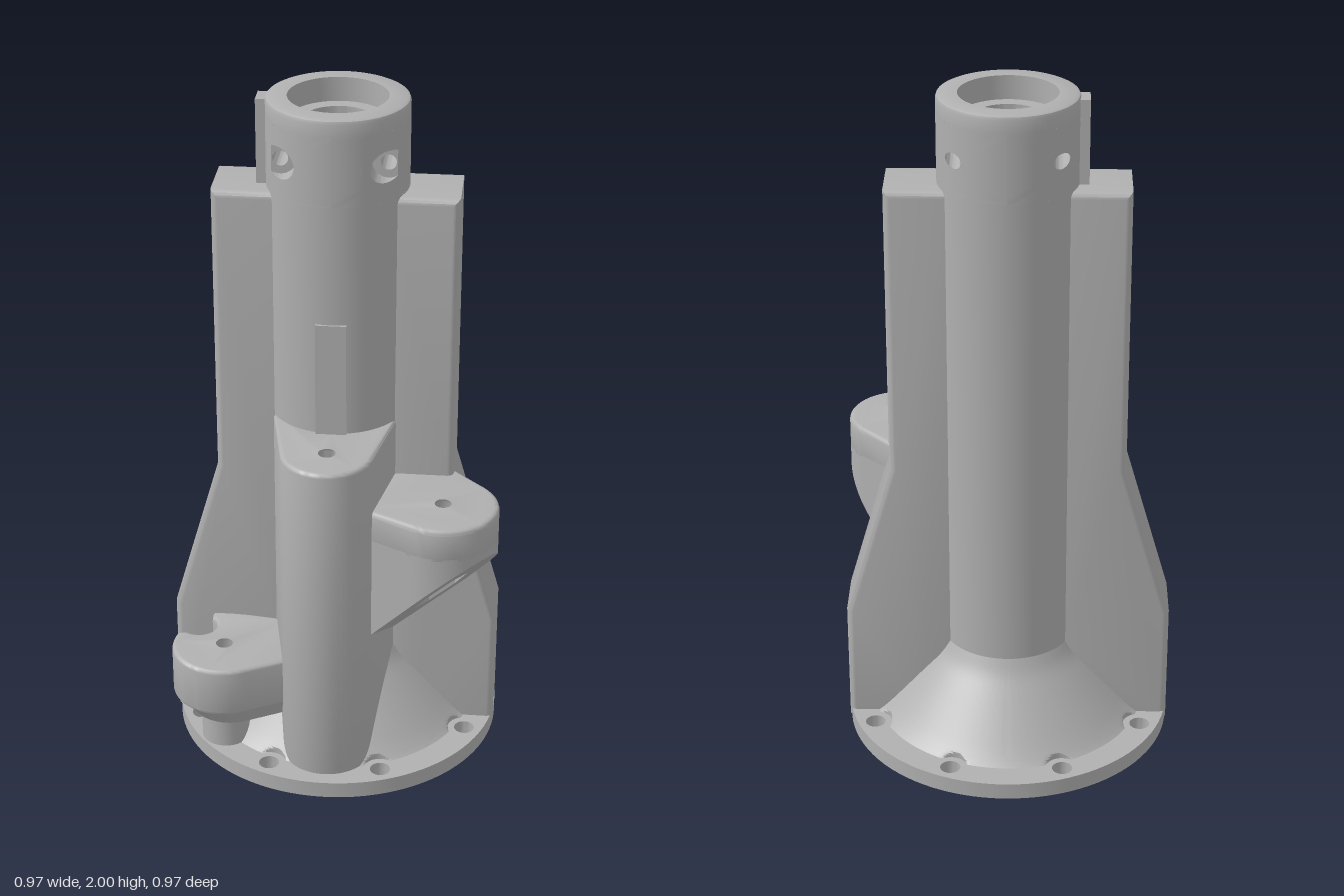
import * as THREE from 'three';
import { toCreasedNormals } from 'three/addons/utils/BufferGeometryUtils.js';
import { ParametricGeometry } from 'three/addons/geometries/ParametricGeometry.js';

const R = 0.2; // main tube radius

export function createModel() {
  const group = new THREE.Group();
  const grey = new THREE.MeshStandardMaterial({ color: 0xb0b0b0, side: THREE.DoubleSide });
  grey.name = 'cast grey';

  const add = (name, geo, crease = 0.6) => {
    const mesh = new THREE.Mesh(crease ? toCreasedNormals(geo, crease) : geo, grey);
    mesh.name = name;
    group.add(mesh);
    return mesh;
  };
  const v2 = (x, y) => new THREE.Vector2(x, y);

  // points of an arc in the ground plane, as [x, z]
  const arc = (cx, cz, r, a0, a1, n = 24) =>
    Array.from({ length: n + 1 }, (_, i) => {
      const a = a0 + ((a1 - a0) * i) / n;
      return [cx + r * Math.cos(a), cz + r * Math.sin(a)];
    });
  const circle = (cx, cz, r, n = 24) => arc(cx, cz, r, 0, Math.PI * 2, n).slice(0, n);

  // upright prism from [x, z] outlines, with optional rounded rims
  const prism = (outline, holes, y0, y1, bevel = 0) => {
    const shape = new THREE.Shape(outline.map(([x, z]) => v2(x, -z)));
    shape.holes = holes.map((h) => new THREE.Path(h.map(([x, z]) => v2(x, -z))));
    const geo = new THREE.ExtrudeGeometry(shape, {
      depth: y1 - y0 - 2 * bevel, bevelEnabled: bevel > 0, bevelThickness: bevel,
      bevelSize: bevel, bevelOffset: -bevel, bevelSegments: 3,
    });
    return geo.rotateX(-Math.PI / 2).translate(0, y0 + bevel, 0);
  };
  // moves the vertices of a geometry by a rule
  const reshape = (geo, rule) => {
    const p = geo.attributes.position;
    const v = new THREE.Vector3();
    for (let i = 0; i < p.count; i++) {
      rule(v.fromBufferAttribute(p, i));
      p.setXYZ(i, v.x, v.y, v.z);
    }
    return geo;
  };

  // base flange with bolt holes
  const bolts = [];
  for (const sx of [-1, 1])
    for (const sz of [-1, 1]) bolts.push([sx * 0.165, sz * 0.4], [sx * 0.4, sz * 0.165]);
  const lowLug = [-0.312, 0.26];
  add('baseFlange', prism(circle(0, 0, 0.485, 96),
    [circle(0, 0, 0.18, 48), ...bolts.map(([x, z]) => circle(x, z, 0.03)), circle(...lowLug, 0.037)],
    0, 0.05));

  // flared foot, cut back around each bolt
  const flareCurve = new THREE.SplineCurve(
    [[0.405, 0.05], [0.39, 0.063], [0.355, 0.1], [0.27, 0.2], [0.225, 0.255], [R, 0.3]].map((p) => v2(...p)));
  const cuts = [...bolts.map((b) => [...b, 0.05]), [...lowLug, 0.038]];
  const flare = reshape(new THREE.LatheGeometry(flareCurve.getPoints(24), 240), (v) => {
    const r = Math.hypot(v.x, v.z);
    const dx = v.x / r, dz = v.z / r;
    let limit = r;
    for (const [cx, cz, cr] of cuts) {
      const along = cx * dx + cz * dz;
      const off = cx * dz - cz * dx;
      if (along > 0 && Math.abs(off) < cr) limit = Math.min(limit, along - Math.sqrt(cr * cr - off * off));
    }
    v.x = dx * limit;
    v.z = dz * limit;
  });
  add('flaredFoot', flare);

  // main tube: outer wall, then rim and stepped bore
  add('tubeWall', new THREE.LatheGeometry([v2(R, 0.29), v2(R, 1.75)], 64));
  add('tubeRimAndBore', new THREE.LatheGeometry(
    [[R, 1.95], [R, 1.988], [0.197, 1.996], [0.189, 2], [0.14, 2], [0.14, 1.93], [0.1, 1.93],
      [0.1, 0.1], [0.18, 0.1], [0.18, 0]].map((p) => v2(...p)), 64));

  // tube band with two cross-bolt holes running front to back
  const holeX = 0.148, holeY = 1.85, seat = 0.1, floorX = 0.173;
  const rim = (u, r) => {
    const t = u * Math.PI * 2;
    return [Math.min(holeX + r * Math.cos(t), floorX), holeY + r * Math.sin(t)];
  };
  const wallZ = (x) => Math.sqrt(R * R - x * x);
  const wide = 0.045, narrow = 0.022;
  for (const sx of [-1, 1]) {
    for (const sz of [-1, 1]) {
      const r = sz > 0 ? wide : narrow;
      add('boltBand', new ParametricGeometry((u, v, out) => {
        const t = u * Math.PI * 2;
        const m = Math.max(Math.abs(Math.cos(t)), Math.abs(Math.sin(t)));
        const [x, y] = rim(u, r);
        const a = THREE.MathUtils.lerp(Math.asin(x / R), (Math.PI / 4) * (1 + Math.cos(t) / m), v);
        const h = THREE.MathUtils.lerp(y, holeY + (0.1 * Math.sin(t)) / m, v);
        out.set(sx * R * Math.sin(a), h, sz * R * Math.cos(a));
      }, 64, 12), 0.5);
    }
    add('boltCounterbore', new ParametricGeometry((u, v, out) => {
      const [x, y] = rim(u, wide);
      out.set(sx * x, y, THREE.MathUtils.lerp(wallZ(x), seat, v));
    }, 48, 2));
    add('boltSeat', new ParametricGeometry((u, v, out) => {
      const [x0, y0] = rim(u, wide), [x1, y1] = rim(u, narrow);
      out.set(sx * THREE.MathUtils.lerp(x0, x1, v), THREE.MathUtils.lerp(y0, y1, v), seat);
    }, 48, 1));
    add('boltHole', new ParametricGeometry((u, v, out) => {
      const [x, y] = rim(u, narrow);
      out.set(sx * x, y, THREE.MathUtils.lerp(seat, -wallZ(x), v));
    }, 32, 2));
  }

  // side fins
  const finPoints = [[0.25, 0.025], [0.483, 0.025], [0.483, 0.4], [0.345, 0.88], [0.345, 1.745], [0.145, 1.745], [0.145, 0.3]];
  for (const s of [-1, 1]) {
    const b = 0.02;
    const geo = new THREE.ExtrudeGeometry(new THREE.Shape(finPoints.map(([x, y]) => v2(s * x, y))), {
      depth: 0.2 - 2 * b, bevelThickness: b, bevelSize: b, bevelOffset: -b, bevelSegments: 4,
    });
    add(s > 0 ? 'leftFin' : 'rightFin', geo.translate(0, 0, b - 0.1));
  }

  // front column with a blind hole on top
  add('frontColumn', prism(
    [[0.178, 0.09], ...arc(0, 0.31, 0.132, -0.05 + 0.25, Math.PI - 0.2), [-0.178, 0.09],
      ...arc(0, 0, 0.18, Math.PI - 0.6, 0.6, 16)],
    [circle(0, 0.315, 0.037)], 0.03, 1.06, 0.012));

  // flat pad above the column and a locating key near the rim
  add('frontPad', new THREE.BoxGeometry(0.088, 0.37, 0.03).translate(0, 1.215, 0.19), 0);
  add('sideKey', new THREE.BoxGeometry(0.05, 0.27, 0.064).translate(-0.2, 1.855, -0.003), 0);

  // high left lug: sloping underside with a hexagonal pocket
  const [hx, hz] = [0.325, 0.26];
  const highOutline = [[0.12, 0.1], [0.35, 0.06], ...arc(hx, hz, 0.16, -0.75, 2.09, 32), [0.08, 0.31]];
  add('highLugTop', prism(highOutline, [circle(hx, hz, 0.038)], 0.775, 0.885, 0.014));
  add('highLugBody', reshape(prism(highOutline, [circle(hx, hz, 0.075, 6)], 0.4, 0.795), (v) => {
    if (v.y < 0.5) v.y = 0.77 - 1.1 * (0.576 - (0.781 * v.x + 0.625 * v.z));
  }));

  // low right lug: relieved around the bolt, tapered underneath, on a short post
  const [lx, lz] = lowLug;
  const lowHole = circle(lx, lz, 0.037);
  const lowOutline = [[-0.13, 0.11], [-0.08, 0.31], ...arc(lx, lz, 0.154, 1.05, 3.46, 28),
    ...arc(-0.4, 0.165, 0.052, 2.2, -0.9, 14), [-0.37, 0.08]];
  add('lowLugTop', prism(lowOutline, [lowHole], 0.215, 0.37, 0.012));
  add('lowLugTaper', reshape(prism(lowOutline, [lowHole], 0.16, 0.23), (v) => {
    if (v.y < 0.2 && Math.hypot(v.x - lx, v.z - lz) > 0.05) {
      v.x = -0.25 + (v.x + 0.25) * 0.76;
      v.z = 0.22 + (v.z - 0.22) * 0.76;
    }
  }));
  add('lowLugPost', prism(circle(lx, lz, 0.072, 32), [lowHole], 0.04, 0.18));

  return group;
}
